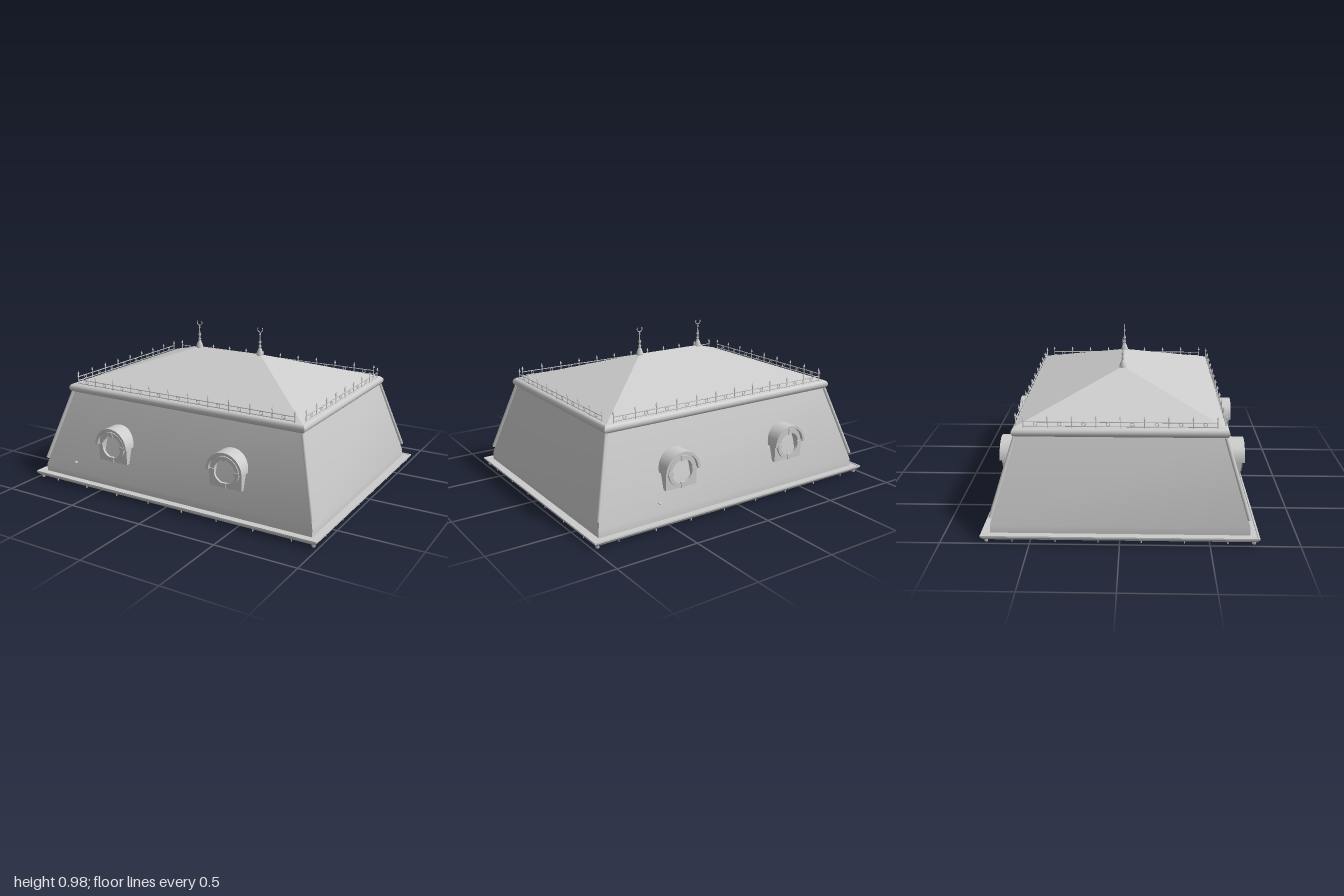
import * as THREE from 'three';
import { mergeGeometries, toCreasedNormals } from 'three/addons/utils/BufferGeometryUtils.js';

const HX = 1, HZ = 0.775; // half sizes of the eaves

// Sweeps a profile of [inset, height] points around the rectangular plan.
function rectSweep(profile, closed = false) {
  const signs = [[1, 1], [1, -1], [-1, -1], [-1, 1]];
  const pos = [], idx = [];
  for (const [d, y] of profile)
    for (const [sx, sz] of signs) pos.push(sx * (HX - d), y, sz * (HZ - d));
  const n = profile.length;
  for (let i = 0; i < (closed ? n : n - 1); i++) {
    const j = (i + 1) % n;
    for (let k = 0; k < 4; k++) {
      const m = (k + 1) % 4;
      const a = i * 4 + k, b = i * 4 + m, c = j * 4 + m, d = j * 4 + k;
      idx.push(a, b, c, a, c, d);
    }
  }
  const g = new THREE.BufferGeometry();
  g.setAttribute('position', new THREE.Float32BufferAttribute(pos, 3));
  g.setIndex(idx);
  return toCreasedNormals(g, 0.7);
}

function bar(a, b, r, sides = 6) {
  const p = new THREE.Vector3(...a), q = new THREE.Vector3(...b);
  const dir = q.clone().sub(p);
  const g = new THREE.CylinderGeometry(r, r, dir.length(), sides);
  g.applyQuaternion(new THREE.Quaternion().setFromUnitVectors(new THREE.Vector3(0, 1, 0), dir.normalize()));
  const m = p.add(q).multiplyScalar(0.5);
  return g.translate(m.x, m.y, m.z);
}

// Arch outline: straight legs of the given depth below a half circle.
function arch(target, r, legs) {
  target.moveTo(r, -legs);
  target.lineTo(r, 0);
  target.absarc(0, 0, r, 0, Math.PI, false);
  target.lineTo(-r, -legs);
  target.closePath();
  return target;
}

const extrude = (shape, depth, z) => new THREE.ExtrudeGeometry(shape,
  { depth, bevelEnabled: false, curveSegments: 16 }).translate(0, 0, z);

export function createModel() {
  const model = new THREE.Group();
  const grey = new THREE.MeshStandardMaterial({ color: 0xcccccc, side: THREE.DoubleSide });
  grey.name = 'roof grey';
  const add = (name, geo, parent = model) => {
    const mesh = new THREE.Mesh(geo, grey);
    mesh.name = name;
    parent.add(mesh);
    return mesh;
  };

  // Eaves gutter, open steep roof and half-round cornice
  add('gutter', rectSweep([[0.07, 0.013], [0.03, 0.013], [0.015, 0.018], [0.004, 0.032],
    [0, 0.036], [0, 0.045], [0.01, 0.045], [0.012, 0.041], [0.07, 0.041]], true));
  add('steepRoof', rectSweep([[0.05, 0.035], [0.05, 0.085], [0.19, 0.57]]));
  const cornice = [[0.225, 0.563]];
  for (let i = 0; i <= 8; i++) {
    const t = -Math.PI / 2 + (i / 8) * Math.PI;
    cornice.push([0.195 - 0.026 * Math.cos(t), 0.59 + 0.027 * Math.sin(t)]);
  }
  cornice.push([0.225, 0.617]);
  add('cornice', rectSweep(cornice, true));

  // Upper hipped roof
  const rx = 0.81, rz = 0.59, y0 = 0.617, y1 = 0.815, ridge = 0.225;
  const hip = new THREE.BufferGeometry();
  hip.setAttribute('position', new THREE.Float32BufferAttribute([
    rx, y0, rz, rx, y0, -rz, -rx, y0, -rz, -rx, y0, rz, ridge, y1, 0, -ridge, y1, 0], 3));
  hip.setIndex([0, 1, 4, 1, 2, 5, 1, 5, 4, 2, 3, 5, 3, 0, 4, 3, 4, 5]);
  add('upperRoof', toCreasedNormals(hip, 0.1));

  // Corner hip rolls
  for (const sx of [-1, 1]) for (const sz of [-1, 1])
    add('hipRoll', bar([sx * 0.945, 0.13, sz * 0.72], [sx * 0.813, 0.565, sz * 0.588], 0.011, 8));

  // Small fixings under the gutter and at its corners
  const bolts = [];
  const bolt = (x, z, r) => bolts.push(new THREE.CylinderGeometry(r, r * 0.8, 0.016, 6).translate(x, 0.008, z));
  for (const s of [-1, 1]) {
    for (let i = 0; i < 8; i++) bolt(-0.84 + i * 0.24, s * 0.75, 0.004);
    for (let i = 0; i < 6; i++) bolt(s * 0.975, -0.6 + i * 0.24, 0.004);
    for (const sx of [-1, 1]) bolt(sx * 0.97, s * 0.745, 0.012);
  }
  add('gutterFixings', mergeGeometries(bolts));

  // Round-headed dormers, two on each long side
  const hoodShape = new THREE.Shape();
  hoodShape.absarc(0, 0, 0.118, 0, Math.PI, false);
  hoodShape.absarc(0, 0, 0.102, Math.PI, 0, true);
  const casing = arch(new THREE.Shape(), 0.106, 0.1);
  casing.holes.push(arch(new THREE.Path(), 0.088, 0.0995));
  const panel = arch(new THREE.Shape(), 0.106, 0.1);
  panel.holes.push(new THREE.Path().absarc(0, 0, 0.076, 0, Math.PI * 2, true));
  const frame = new THREE.Shape().absarc(0, 0, 0.092, 0, Math.PI * 2, false);
  frame.holes.push(new THREE.Path().absarc(0, 0, 0.07, 0, Math.PI * 2, true));
  const keys = [];
  for (let i = 0; i < 4; i++)
    keys.push(new THREE.BoxGeometry(0.022, 0.032, 0.016).translate(0, 0.08, 0.723).rotateZ(i * Math.PI / 2));
  const parts = {
    dormerHood: toCreasedNormals(extrude(hoodShape, 0.135, 0.6), 0.6),
    dormerCasing: toCreasedNormals(extrude(casing, 0.1, 0.61), 0.6),
    dormerFront: extrude(panel, 0.008, 0.706),
    windowFrame: toCreasedNormals(extrude(frame, 0.014, 0.712), 0.6),
    windowKeys: mergeGeometries(keys),
  };
  for (const turn of [0, Math.PI]) {
    const side = new THREE.Group();
    side.name = turn ? 'backDormers' : 'frontDormers';
    side.rotation.y = turn;
    for (const x of [-0.405, 0.4]) {
      const dormer = new THREE.Group();
      dormer.name = 'dormer';
      dormer.position.set(x, 0.302, 0);
      for (const [name, geo] of Object.entries(parts)) add(name, geo, dormer);
      side.add(dormer);
    }
    // Small vent on the slope
    const vent = add('vent', new THREE.SphereGeometry(0.012, 10, 6).scale(1, 0.5, 1), side);
    vent.position.set(turn ? -0.55 : -0.71, 0.14, 0.712);
    model.add(side);
  }

  // Roof cresting: rail, spiked posts and little rings
  function cresting(half, posts) {
    const g = [bar([-half, 0.65, 0], [half, 0.65, 0], 0.003), bar([-half, 0.625, 0], [half, 0.625, 0], 0.003)];
    const step = (2 * half) / (posts - 1);
    for (let i = 0; i < posts; i++) {
      const x = -half + i * step;
      g.push(bar([x, 0.61, 0], [x, 0.672, 0], 0.003));
      g.push(new THREE.ConeGeometry(0.007, 0.022, 6).translate(x, 0.679, 0));
      if (i < posts - 1)
        g.push(new THREE.TorusGeometry(0.01, 0.0025, 5, 12).translate(x + step / 2, 0.638, 0));
    }
    return mergeGeometries(g);
  }
  const longCrest = cresting(0.765, 12), shortCrest = cresting(0.538, 9);
  for (const s of [-1, 1]) {
    add('longCresting', longCrest).position.z = s * 0.587;
    const end = add('endCresting', shortCrest);
    end.position.x = s * 0.808;
    end.rotation.y = Math.PI / 2;
  }

  // Ridge finials with an upturned crescent
  const profile = [[0.022, -0.01], [0.021, 0.008], [0.009, 0.038], [0.005, 0.042], [0.011, 0.05],
    [0.005, 0.058], [0.004, 0.068], [0.011, 0.077], [0.004, 0.087], [0.003, 0.12], [0.007, 0.126],
    [0.003, 0.132], [0.003, 0.14], [0, 0.142]].map(p => new THREE.Vector2(...p));
  const finial = new THREE.LatheGeometry(profile, 12);
  const arc = Math.PI * 1.35;
  const crescent = new THREE.TorusGeometry(0.018, 0.003, 6, 18, arc)
    .rotateZ(-Math.PI / 2 - arc / 2).translate(0, 0.158, 0);
  for (const s of [-1, 1]) {
    const group = new THREE.Group();
    group.name = 'finial';
    group.position.set(s * ridge, 0.815, 0);
    add('finialStem', finial, group);
    add('finialCrescent', crescent, group);
    model.add(group);
  }
  return model;
}
